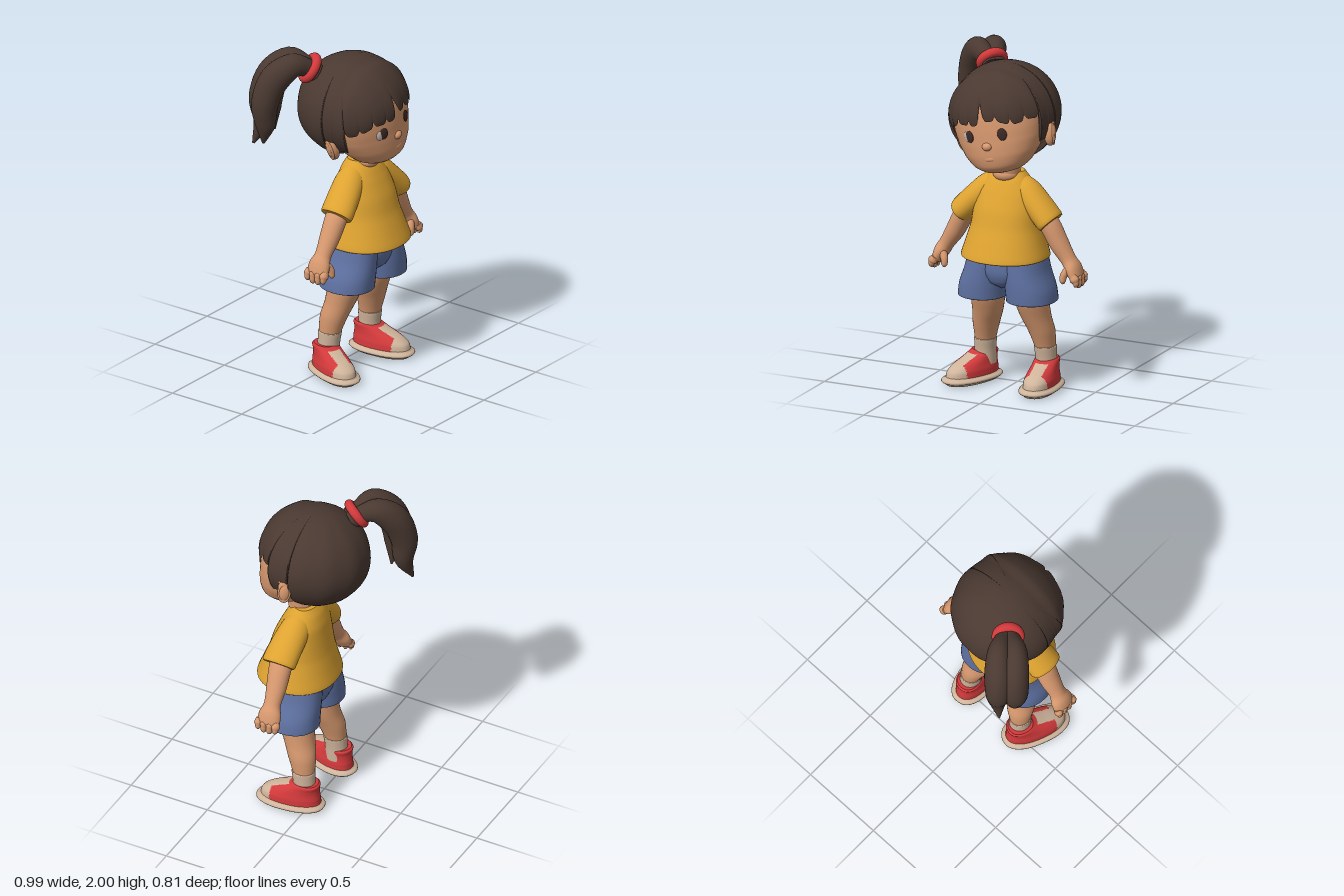
import * as THREE from 'three';

const mat = (name, color, side = THREE.FrontSide) => {
  const m = new THREE.MeshStandardMaterial({ color, side });
  m.name = name;
  return m;
};
const V = (x, y, z) => new THREE.Vector3(x, y, z);

// Smooth skin over rows [x, y, z, radiusA, radiusB]. Sections lie flat, or
// (with ref) square to the path with radiusA along ref. e < 1 squares them off.
function loft(rows, { ref = null, seg = 32, steps = 5, e = 1 } = {}) {
  const path = new THREE.CatmullRomCurve3(rows.map(r => V(r[0], r[1], r[2])));
  const size = new THREE.CatmullRomCurve3(rows.map(r => V(r[3], r[4], 0)));
  const n = (rows.length - 1) * steps, pos = [], idx = [];
  const up = V(0, Math.sign(rows[rows.length - 1][1] - rows[0][1]), 0);
  const pw = c => Math.sign(c) * Math.abs(c) ** e;
  const ring = t => {
    const c = path.getPoint(t), r = size.getPoint(t);
    const T = ref ? path.getTangent(t) : up;
    const u = (ref || V(1, 0, 0)).clone();
    u.addScaledVector(T, -u.dot(T)).normalize();
    const v = T.clone().cross(u);
    for (let j = 0; j < seg; j++) {
      const a = j / seg * Math.PI * 2;
      const p = c.clone().addScaledVector(u, pw(Math.cos(a)) * Math.max(r.x, 0.001))
        .addScaledVector(v, pw(Math.sin(a)) * Math.max(r.y, 0.001));
      pos.push(p.x, p.y, p.z);
    }
    return c;
  };
  for (let i = 0; i <= n; i++) ring(i / n);
  for (let i = 0; i < n; i++) for (let j = 0; j < seg; j++) {
    const a = i * seg + j, b = i * seg + (j + 1) % seg;
    idx.push(a, b, b + seg, a, b + seg, a + seg);
  }
  for (const t of [0, 1]) { // end caps
    const base = pos.length / 3, c = ring(t), mid = base + seg;
    pos.push(c.x, c.y, c.z);
    for (let j = 0; j < seg; j++) {
      const a = base + j, b = base + (j + 1) % seg;
      if (t) idx.push(mid, a, b); else idx.push(mid, b, a);
    }
  }
  return geometry(pos, idx);
}

function geometry(pos, idx) {
  const g = new THREE.BufferGeometry();
  g.setAttribute('position', new THREE.Float32BufferAttribute(pos, 3));
  g.setIndex(idx);
  g.computeVertexNormals();
  return g;
}

// Sorts faces into two material groups by the position of their middle.
function paint(g, rule) {
  const lists = [[], []], p = g.attributes.position, ix = g.index.array;
  for (let i = 0; i < ix.length; i += 3) {
    const f = [ix[i], ix[i + 1], ix[i + 2]], c = V(0, 0, 0);
    f.forEach(k => c.add(V(p.getX(k), p.getY(k), p.getZ(k))));
    lists[rule(c.divideScalar(3)) ? 1 : 0].push(...f);
  }
  g.setIndex([...lists[0], ...lists[1]]);
  g.addGroup(0, lists[0].length, 0);
  g.addGroup(lists[0].length, lists[1].length, 1);
  return g;
}

// Lower edge of the hair (polar angle, degrees) for a heading a from the front
function hairEdge(a) {
  const d = Math.abs(a);
  if (d > 87) return 180;
  if (d > 75) return 104;
  if (d > 62) return 122;
  const s = (a + 62) / 15.5, k = Math.abs(2 * (s - Math.floor(s)) - 1);
  return 86 + 7 * d / 62 + 2 * Math.sin(s * 2.3) - 7 * k ** 5 - 14 * Math.exp(-((a / 3) ** 2));
}

function hairCap() {
  const cols = 360, rows = 40, pos = [], idx = [], rad = Math.PI / 180;
  for (let i = 0; i <= rows; i++) for (let j = 0; j < cols; j++) {
    const a = j - 180, s = i / rows, th = s * hairEdge(a) * rad;
    const front = Math.abs(a) < 62;
    let k = 1 + 0.006 * Math.cos(a * rad * 11) * Math.sin(th) ** 2;
    if (front) k -= 0.035 * s ** 10; // bangs curl in at their ends
    const z = 0.322 * Math.sin(th) * Math.cos(a * rad);
    k += 0.045 * THREE.MathUtils.smoothstep(z, 0.09, 0.16); // bangs layer
    const y = Math.cos(th);
    pos.push(0.322 * k * Math.sin(th) * Math.sin(a * rad), (y > 0 ? 0.308 : 0.285) * k * y, z * k);
    if (i < rows) {
      const p = i * cols + j, q = i * cols + (j + 1) % cols;
      idx.push(p, p + cols, q + cols, p, q + cols, q);
    }
  }
  return geometry(pos, idx);
}

export function createModel() {
  const skin = mat('skin', 0xd8996f);
  const hair = mat('hair', 0x4a3931, THREE.DoubleSide);
  const yellow = mat('shirt yellow', 0xdea331);
  const blue = mat('shorts blue', 0x5f72a3);
  const red = mat('red', 0xd2393b);
  const cream = mat('cream', 0xcfb49b);
  const dark = mat('eye brown', 0x3d2a26);
  const white = mat('eye white', 0xc4b8b4);

  const model = new THREE.Group();
  const add = (name, geo, material, parent = model) => {
    const m = new THREE.Mesh(geo, material);
    m.name = name;
    parent.add(m);
    return m;
  };
  const ball = (name, material, parent, p, s, ry = 0) => {
    const m = add(name, new THREE.SphereGeometry(1, 32, 20), material, parent);
    m.position.set(...p);
    m.scale.set(...s);
    m.rotation.y = ry;
    return m;
  };
  const Z = V(0, 0, 1);

  // Head, tilted to one side
  const head = new THREE.Group();
  head.name = 'head';
  head.position.set(-0.035, 1.64, 0.08);
  head.rotation.z = 0.2;
  model.add(head);
  add('face', loft([
    [0, -0.308, 0.15, 0.04, 0.05], [0, -0.295, 0.15, 0.11, 0.1], [0, -0.26, 0.145, 0.17, 0.145],
    [0, -0.19, 0.125, 0.228, 0.182], [0, -0.11, 0.11, 0.262, 0.198], [0, -0.04, 0.11, 0.274, 0.196],
    [0, 0.05, 0.1, 0.28, 0.198], [0, 0.15, 0.08, 0.245, 0.185], [0, 0.22, 0.05, 0.14, 0.12],
  ], { seg: 48 }), skin, head);
  add('hair', hairCap(), hair, head);
  ball('nose', skin, head, [0, -0.125, 0.298], [0.032, 0.026, 0.028]);
  ball('lips', skin, head, [0, -0.2, 0.292], [0.045, 0.02, 0.016]);
  ball('rightEyeWhite', white, head, [-0.128, -0.062, 0.283], [0.027, 0.03, 0.008], -0.4);
  for (const s of [1, -1]) {
    ball(s > 0 ? 'leftEye' : 'rightEye', dark, head, [s * 0.106, -0.06, 0.293], [0.029, 0.036, 0.008], s * 0.32);
    const ear = ball(s > 0 ? 'leftEar' : 'rightEar', skin, head, [s * 0.28, -0.13, 0.04], [0.036, 0.076, 0.042], s * 0.4);
    ear.rotation.z = -s * 0.15;
    const rim = add('earRim', new THREE.TorusGeometry(0.75, 0.2, 10, 28), skin, ear);
    rim.rotation.y = Math.PI / 2;
    rim.position.x = s * 0.55;
  }

  // Ponytail in two locks, with its tie
  const across = V(1, 0, -1).normalize();
  for (const [s, tx, ty, tz] of [[1, -0.4, 1.405, -0.365], [-1, -0.43, 1.44, -0.27]]) {
    const o = s * 0.035;
    add('ponytailLock', loft([
      [-0.19 + o * 0.4, 1.86, -0.07 - o * 0.4, 0.05, 0.06], [-0.225 + o * 0.5, 1.895, -0.11 - o * 0.5, 0.05, 0.055],
      [-0.285 + o, 1.922, -0.175 - o, 0.065, 0.075], [-0.355 + o, 1.84, -0.255 - o, 0.08, 0.088],
      [-0.395 + o, 1.69, -0.295 - o, 0.076, 0.08], [-0.39 + o, 1.55, -0.295 - o, 0.055, 0.058],
      [tx, ty, tz, 0.006, 0.008],
    ], { ref: across }), hair);
  }
  add('ponytailInnerLock', loft([
    [-0.35, 1.8, -0.24, 0.06, 0.06], [-0.37, 1.65, -0.255, 0.055, 0.055], [-0.335, 1.5, -0.26, 0.006, 0.006],
  ], { ref: across }), hair);
  const tie = add('hairTie', new THREE.TorusGeometry(0.068, 0.028, 14, 40), red);
  tie.position.set(-0.215, 1.885, -0.095);
  tie.quaternion.setFromUnitVectors(Z, V(-0.18, 0.16, -0.16).normalize());

  // Neck and shirt
  add('neck', loft([[0, 1.18, 0.12, 0.08, 0.07], [0, 1.3, 0.145, 0.08, 0.075], [0, 1.42, 0.155, 0.085, 0.08]]), skin);
  ball('collarSkin', skin, model, [0, 1.3, 0.155], [0.078, 0.05, 0.072]);
  add('shirt', loft([
    [0, 0.86, 0.16, 0.2, 0.18], [0, 0.808, 0.16, 0.247, 0.23], [0, 0.815, 0.16, 0.258, 0.238],
    [0, 0.9, 0.155, 0.235, 0.212], [0, 1, 0.147, 0.208, 0.18], [0, 1.1, 0.14, 0.196, 0.157],
    [0, 1.2, 0.125, 0.172, 0.128], [0, 1.27, 0.118, 0.13, 0.098], [0, 1.315, 0.113, 0.095, 0.066],
  ], { seg: 48, e: 0.92 }), yellow);

  // Waist of the shorts
  add('shortsWaist', loft([
    [0, 0.62, 0.13, 0.03, 0.08], [0, 0.66, 0.13, 0.14, 0.14], [0, 0.74, 0.13, 0.225, 0.163], [0, 0.85, 0.13, 0.215, 0.16],
  ]), blue);

  for (const s of [1, -1]) {
    const side = s > 0 ? 'left' : 'right';
    const m = rows => rows.map(([x, ...r]) => [x * s, ...r]);

    // Sleeve, arm and hand
    add(side + 'Sleeve', loft(m([
      [0.04, 1.24, 0.118, 0.065, 0.07], [0.12, 1.19, 0.125, 0.09, 0.088], [0.2, 1.125, 0.137, 0.098, 0.08],
      [0.275, 1.05, 0.147, 0.103, 0.077], [0.288, 1.037, 0.147, 0.098, 0.072],
    ]), { ref: Z }), yellow);
    add(side + 'Arm', loft(m([
      [0.2, 1.12, 0.14, 0.07, 0.06], [0.275, 1.02, 0.14, 0.068, 0.06], [0.335, 0.91, 0.135, 0.06, 0.056],
      [0.39, 0.825, 0.132, 0.05, 0.045], [0.422, 0.775, 0.13, 0.068, 0.044], [0.445, 0.725, 0.13, 0.07, 0.034],
      [0.45, 0.71, 0.13, 0.055, 0.02],
    ]), { ref: Z }), skin);
    for (let i = 0; i < 4; i++) {
      const z = 0.075 + i * 0.037, drop = i === 0 || i === 3 ? 0.012 : 0;
      add(side + 'Finger', loft(m([
        [0.442, 0.745, z, 0.02, 0.021], [0.462, 0.71, z, 0.02, 0.021],
        [0.464, 0.682 + drop, z, 0.017, 0.017], [0.458, 0.668 + drop, z, 0.006, 0.006],
      ]), { ref: Z, seg: 12 }), skin);
    }
    add(side + 'Thumb', loft(m([
      [0.41, 0.785, 0.16, 0.024, 0.024], [0.385, 0.74, 0.182, 0.022, 0.022],
      [0.382, 0.705, 0.188, 0.018, 0.018], [0.386, 0.69, 0.188, 0.006, 0.006],
    ]), { ref: Z, seg: 12 }), skin);

    // Shorts leg with an open hem
    add(side + 'ShortsLeg', loft(m([
      [0.15, 0.62, 0.125, 0.09, 0.1], [0.155, 0.548, 0.128, 0.134, 0.152], [0.155, 0.552, 0.128, 0.145, 0.163],
      [0.148, 0.62, 0.13, 0.143, 0.166], [0.125, 0.73, 0.13, 0.127, 0.166], [0.11, 0.83, 0.13, 0.12, 0.16],
    ]), { e: 0.92 }), blue);

    // Leg and sock
    add(side + 'Leg', loft(m([
      [0.138, 0.68, 0.12, 0.105, 0.115], [0.142, 0.54, 0.105, 0.1, 0.106], [0.155, 0.44, 0.08, 0.09, 0.092],
      [0.178, 0.35, 0.052, 0.078, 0.084], [0.192, 0.25, 0.033, 0.061, 0.067], [0.195, 0.2, 0.028, 0.058, 0.062],
    ])), skin);
    add(side + 'Sock', loft(m([
      [0.197, 0.1, 0.022, 0.062, 0.068], [0.196, 0.18, 0.027, 0.062, 0.067], [0.193, 0.25, 0.033, 0.065, 0.071],
      [0.193, 0.257, 0.033, 0.058, 0.063],
    ])), cream);

    // Shoe: sole, upper with toe cap and tongue
    const shoe = new THREE.Group();
    shoe.name = side + 'Shoe';
    shoe.position.set(s > 0 ? 0.195 : -0.205, 0, 0);
    shoe.rotation.y = s > 0 ? 0.1 : -0.38;
    model.add(shoe);
    add('sole', loft([
      [0, 0, 0.11, 0.082, 0.178], [0, 0.012, 0.11, 0.094, 0.19], [0, 0.042, 0.11, 0.094, 0.19], [0, 0.05, 0.11, 0.086, 0.182],
    ], { e: 0.85 }), cream, shoe);
    add('upper', paint(loft([
      [0, 0.035, 0.11, 0.09, 0.186], [0, 0.08, 0.105, 0.087, 0.177], [0, 0.112, 0.085, 0.079, 0.152],
      [0, 0.145, 0.045, 0.073, 0.11], [0, 0.172, 0.014, 0.07, 0.082], [0, 0.18, 0.014, 0.062, 0.073],
    ], { seg: 72, steps: 10, e: 0.88 }), c => c.z > 0.215 ||
      (Math.abs(c.x) < 0.038 && c.z > 0.08 && c.y > 0.09 && c.y < 0.162)), [red, cream], shoe);
  }
  return model;
}
